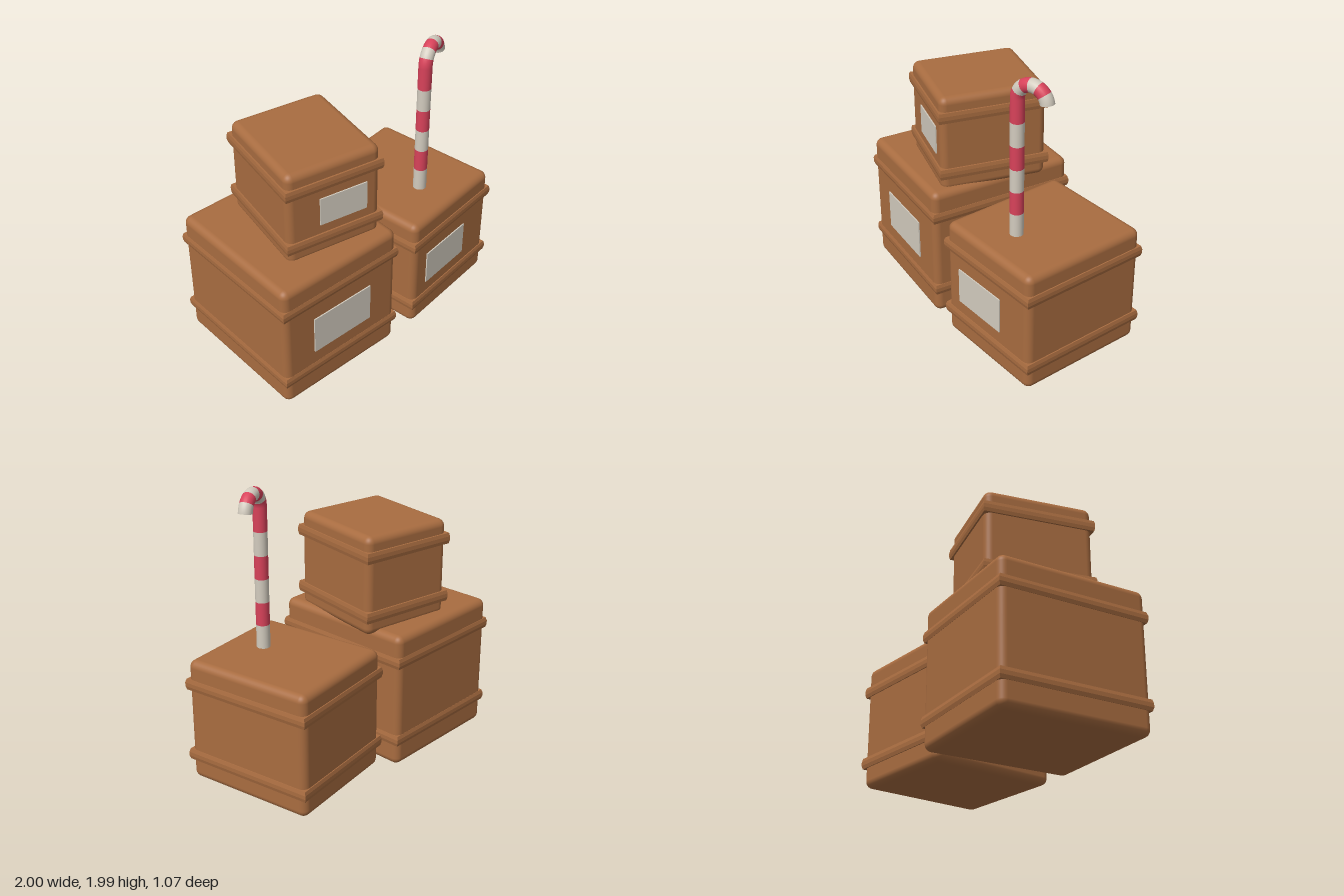
import * as THREE from 'three';
import { RoundedBoxGeometry } from 'three/addons/geometries/RoundedBoxGeometry.js';

const mat = (name, color) => {
  const m = new THREE.MeshStandardMaterial({ color });
  m.name = name;
  return m;
};

export function createModel() {
  const brown = mat('cardboard brown', 0xa86c40);
  const cream = mat('cream white', 0xd2cbbe);
  const red = mat('candy red', 0xd8425a);
  const model = new THREE.Group();
  model.name = 'parcelsWithCane';

  const add = (parent, name, geometry, material, x = 0, y = 0, z = 0) => {
    const mesh = new THREE.Mesh(geometry, material);
    mesh.name = name;
    mesh.position.set(x, y, z);
    parent.add(mesh);
    return mesh;
  };

  // Square ridged band around a parcel: a four-sided lathe with flat faces
  function bandGeometry(w, d, h) {
    const s = Math.SQRT1_2;
    const profile = [[0.9, -0.5], [0.986, -0.5], [1, -0.18], [1, 0.18], [0.986, 0.5], [0.9, 0.5]]
      .map(([r, y]) => new THREE.Vector2(r * s, y * h));
    const g = new THREE.LatheGeometry(profile, 4, Math.PI / 4).scale(w, 1, d).toNonIndexed();
    g.computeVertexNormals();
    return g;
  }

  // Parcel: rounded body, two bands and a front label
  function parcel({ name, x, z, turn, y0, y1, band, body, bands, label }) {
    const g = new THREE.Group();
    g.name = name;
    g.position.set(x, 0, z);
    g.rotation.y = turn;
    const h = y1 - y0;
    add(g, 'parcelBody', new RoundedBoxGeometry(body[0], h, body[1], 4, 0.05), brown, 0, y0 + h / 2);
    for (const y of bands) add(g, 'band', bandGeometry(band[0], band[1], 0.075), brown, 0, y);
    const [lx, ly, lw, lh] = label;
    add(g, 'label', new THREE.BoxGeometry(lw, lh, 0.009), cream, lx, ly, body[1] / 2 + 0.004);
    model.add(g);
  }

  parcel({ name: 'largeParcel', x: -0.513, z: -0.01, turn: 0, y0: 0, y1: 0.96,
    band: [0.973, 1.068], body: [0.953, 1.05], bands: [0.775, 0.197], label: [0, 0.48, 0.48, 0.285] });
  parcel({ name: 'turnedParcel', x: 0.496, z: -0.008, turn: 0.1425, y0: 0, y1: 0.865,
    band: [0.88, 0.959], body: [0.852, 0.933], bands: [0.695, 0.177], label: [-0.07, 0.433, 0.432, 0.255] });
  parcel({ name: 'topParcel', x: -0.366, z: -0.008, turn: -0.175, y0: 0.925, y1: 1.613,
    band: [0.706, 0.771], body: [0.674, 0.738], bands: [1.478, 1.062], label: [0.063, 1.272, 0.342, 0.203] });

  // Cane: striped shaft and curved hook
  const cane = new THREE.Group();
  cane.name = 'candyCane';
  cane.position.set(0.496, 0, 0.19);
  cane.rotation.y = 0.405;
  model.add(cane);
  const r = 0.046, R = 0.11, top = 1.83, n = 6, base = 0.866;
  const step = (top - base) / n;
  for (let i = 0; i < n; i++) {
    const low = i ? base + i * step : 0.82;
    const high = base + (i + 1) * step;
    add(cane, 'shaftStripe', new THREE.CylinderGeometry(r, r, high - low, 24, 1, true),
      i % 2 ? red : cream, 0, (low + high) / 2);
  }
  const sweep = THREE.MathUtils.degToRad(170), arc = sweep / n;
  for (let i = 0; i < n; i++) {
    const piece = add(cane, 'hookStripe', new THREE.TorusGeometry(R, r, 24, 5, arc), i % 2 ? cream : red, R, top);
    piece.rotation.z = Math.PI - (i + 1) * arc;
  }
  const end = Math.PI - sweep;
  const cap = add(cane, 'hookEnd', new THREE.CircleGeometry(r, 24), cream,
    R + R * Math.cos(end), top + R * Math.sin(end));
  cap.rotation.set(Math.PI / 2, 0, end, 'ZYX');

  return model;
}
